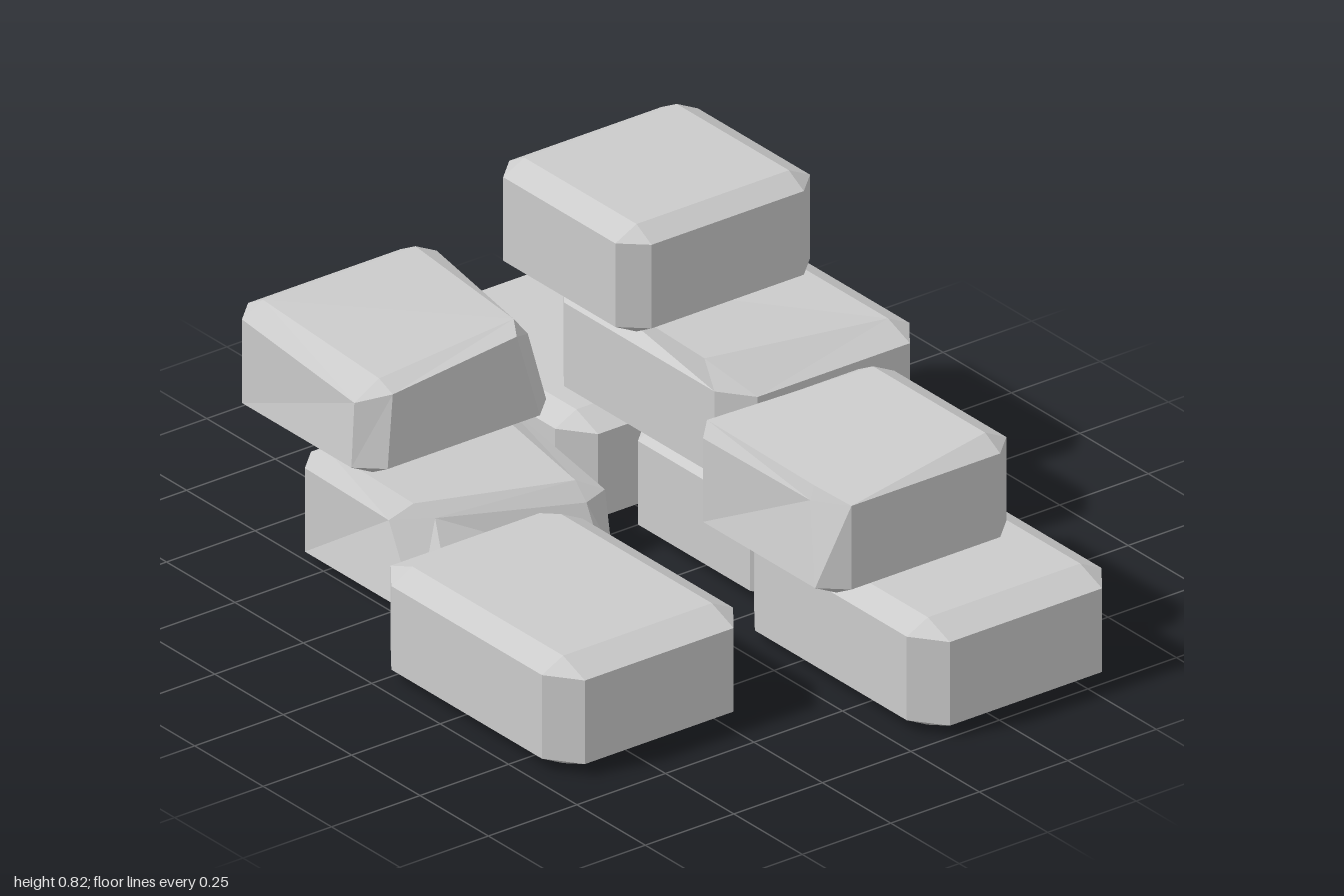
import * as THREE from 'three';
import { ConvexGeometry } from 'three/addons/geometries/ConvexGeometry.js';

const material = new THREE.MeshStandardMaterial({ color: 0xcccccc, flatShading: true });
const H = 0.27, BX = 0.06, BY = 0.03;

// Chamfered stone, then worn top corners. Each wear entry is
// [x sign, z sign, move of top point, move of side point, move of front/back point]
function stone(name, [x0, x1], y0, [z0, z1], wear = []) {
  const hx = (x1 - x0) / 2, hy = H / 2, hz = (z1 - z0) / 2;
  const bz = hz > 0.3 ? 0.08 : 0.055;
  const points = [];
  for (const sx of [-1, 1]) for (const sy of [-1, 1]) for (const sz of [-1, 1]) {
    const add = (x, y, z) => points.push(new THREE.Vector3(sx * x, sy * y, sz * z));
    add(hx - BX, hy, hz - bz);
    add(hx, hy - BY, hz - bz);
    add(hx - BX, hy - BY, hz);
  }
  const geometry = new ConvexGeometry(points);
  const pos = geometry.attributes.position;
  const p = new THREE.Vector3();
  for (let i = 0; i < pos.count; i++) {
    p.fromBufferAttribute(pos, i);
    if (p.y < 0) continue;
    const kind = p.y > hy - 0.001 ? 0 : Math.abs(p.x) > hx - 0.001 ? 1 : 2;
    const corner = wear.find(([sx, sz]) => sx * p.x > 0 && sz * p.z > 0);
    if (!corner) continue;
    const [dx, dy, dz] = corner[2 + kind];
    pos.setXYZ(i, p.x + dx, p.y + dy, p.z + dz);
  }
  geometry.computeVertexNormals();
  const mesh = new THREE.Mesh(geometry, material);
  mesh.name = name;
  mesh.position.set((x0 + x1) / 2, y0 + hy, (z0 + z1) / 2);
  return mesh;
}

export function createModel() {
  const group = new THREE.Group();
  group.name = 'stonePile';
  const still = [0, 0, 0];

  group.add(
    // Bottom layer
    stone('bottomRightStone', [-0.71, -0.17], 0, [-0.06, 0.65]),
    stone('bottomFrontStone', [0.05, 0.6], 0, [0.285, 1]),
    stone('bottomBackStone', [0.05, 0.6], 0, [-1, -0.285]),
    stone('bottomLeftStone', [0.16, 0.71], 0, [-0.26, 0.26]),
    stone('bottomWornStone', [-0.51, 0.04], 0, [-0.61, -0.09], [
      [-1, 1, [0.05, -0.05, -0.155], [0.04, -0.04, -0.155], [0.08, -0.05, -0.17]],
      [1, 1, [0, -0.07, -0.055], [0, -0.07, -0.025], [0, -0.08, -0.07]],
    ]),
    // Middle layer
    stone('middleFrontStone', [-0.05, 0.49], 0.28, [0.25, 0.77], [
      [-1, 1, [-0.01, -0.025, -0.07], [0.04, -0.03, -0.07], still],
      [-1, -1, [-0.01, -0.02, -0.05], still, still],
    ]),
    stone('middleLeftStone', [0.11, 0.66], 0.28, [-0.49, 0.22], [
      [-1, 1, [-0.05, 0.03, -0.05], still, still],
    ]),
    stone('middleBackStone', [-0.51, 0.04], 0.28, [-0.84, -0.33], [
      [-1, 1, [0.03, -0.05, -0.015], [0.02, -0.06, -0.015], [0.03, -0.04, -0.02]],
      [1, 1, [-0.02, -0.02, -0.015], [-0.04, -0.04, -0.015], [-0.05, -0.005, -0.02]],
    ]),
    // Top
    stone('topStone', [0.05, 0.6], 0.555, [-0.61, -0.09]),
  );
  return group;
}
